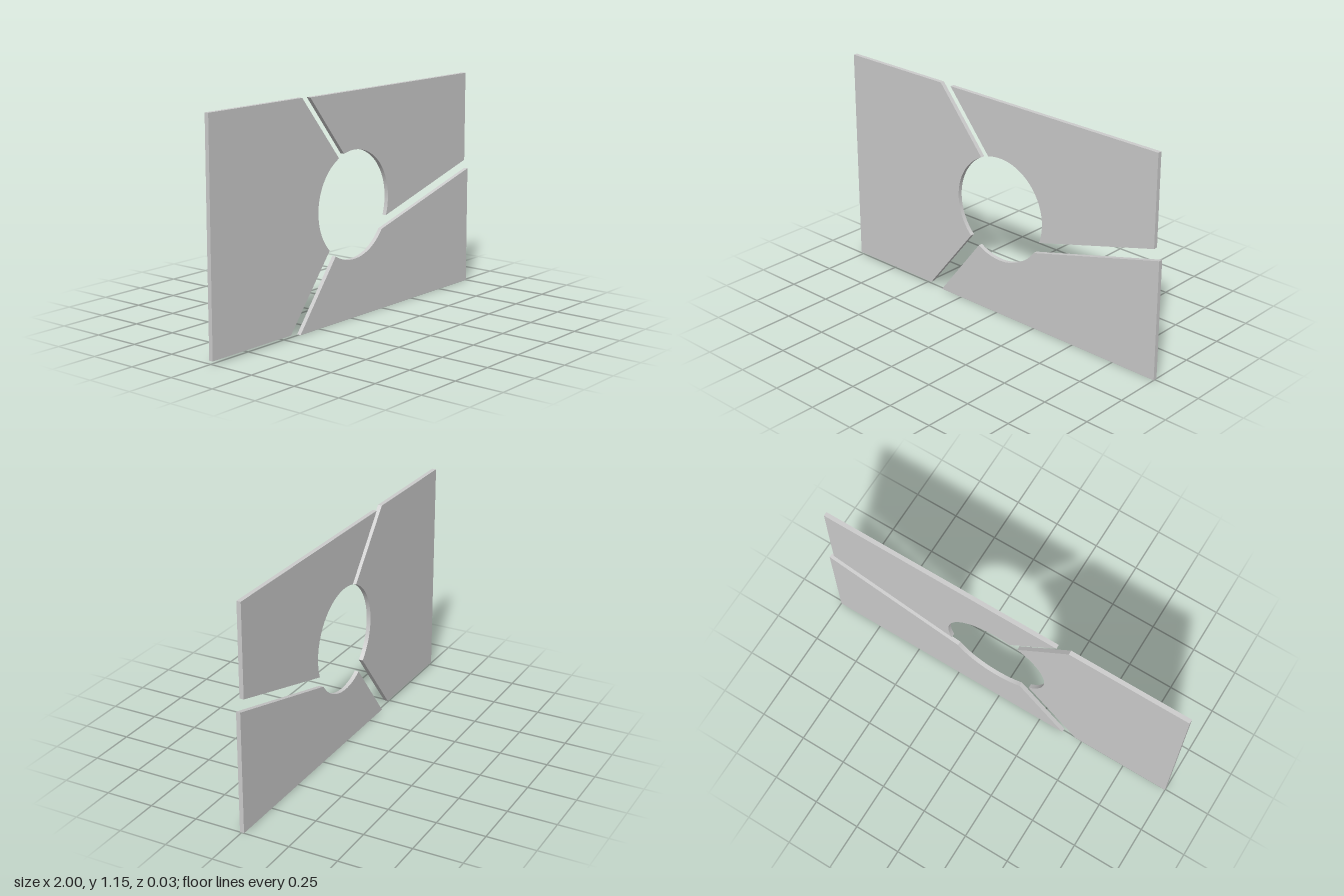
import * as THREE from 'three';

const CENTER = [0.02, 0.577], RADIUS = 0.276, DEPTH = 0.022;

// Flat plate: straight outer edge, closed by an arc of the shared round opening
function plate(name, outer, arcFrom, arcTo, clockwise, zBack, material) {
  const angle = ([x, y]) => Math.atan2(y - CENTER[1], x - CENTER[0]);
  const shape = new THREE.Shape();
  outer.forEach(([x, y], i) => (i ? shape.lineTo(x, y) : shape.moveTo(x, y)));
  shape.absarc(CENTER[0], CENTER[1], RADIUS, angle(arcFrom), angle(arcTo), clockwise);
  shape.closePath();
  const geometry = new THREE.ExtrudeGeometry(shape, {
    depth: DEPTH, bevelEnabled: false, curveSegments: 32,
  });
  geometry.translate(0, 0, zBack);
  const mesh = new THREE.Mesh(geometry, material);
  mesh.name = name;
  return mesh;
}

export function createModel() {
  const group = new THREE.Group();
  group.name = 'splitPanel';
  const material = new THREE.MeshStandardMaterial({ color: 0xcccccc });

  group.add(
    // Tall plate, set slightly forward of the other two
    plate('sidePlate',
      [[-0.37, 1.15], [-1, 1.15], [-1, 0.016], [-0.463, 0.016]],
      [-0.174, 0.377], [-0.099, 0.826], true, -0.009, material),
    // Upper plate
    plate('upperPlate',
      [[0.968, 0.674], [0.968, 1.145], [-0.307, 1.145]],
      [-0.056, 0.842], [0.281, 0.481], true, -0.013, material),
    // Lower plate
    plate('lowerPlate',
      [[-0.388, 0], [1, 0], [1, 0.623]],
      [0.243, 0.417], [-0.12, 0.342], true, -0.013, material),
  );
  return group;
}
